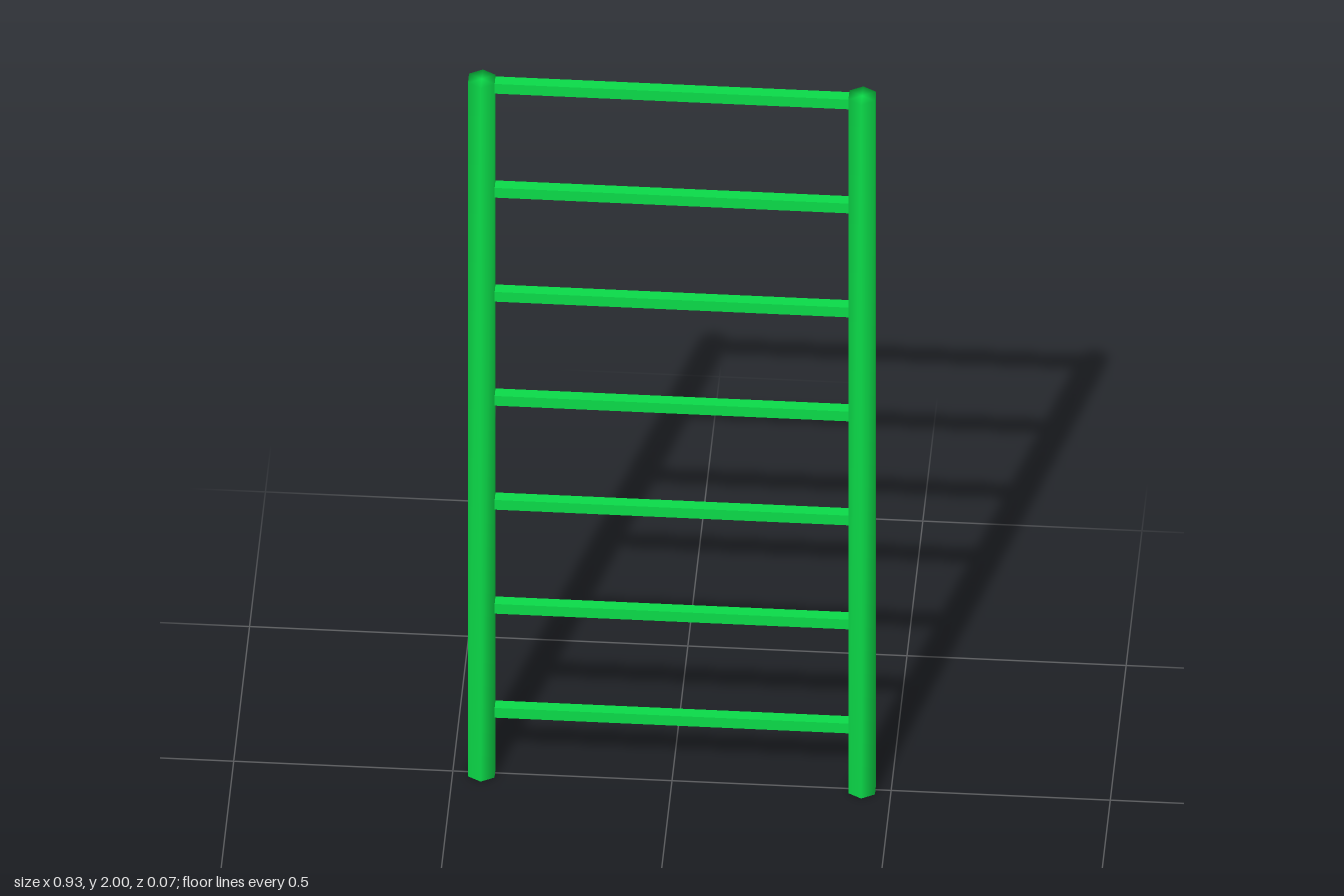
import * as THREE from 'three';
import { mergeVertices } from 'three/addons/utils/BufferGeometryUtils.js';

export function createModel() {
  const model = new THREE.Group();
  model.name = 'ladder';
  const green = new THREE.MeshStandardMaterial({ color: 0x0bdc49 });

  // Six-sided post with normals blended across sides and caps
  let postGeometry = new THREE.CylinderGeometry(0.035, 0.035, 2, 6);
  postGeometry.deleteAttribute('uv');
  postGeometry.deleteAttribute('normal');
  postGeometry = mergeVertices(postGeometry);
  postGeometry.computeVertexNormals();

  // Posts
  for (const [name, side] of [['leftPost', 1], ['rightPost', -1]]) {
    const post = new THREE.Mesh(postGeometry, green);
    post.name = name;
    post.position.set(side * 0.434, 1, 0);
    model.add(post);
  }

  // Square rungs, evenly spaced, running into the posts
  const rungGeometry = new THREE.BoxGeometry(0.83, 0.028, 0.028);
  for (let i = 0; i < 7; i++) {
    const rung = new THREE.Mesh(rungGeometry, green);
    rung.name = `rung${i + 1}`;
    rung.position.y = 0.184 + i * 0.3;
    model.add(rung);
  }

  return model;
}
